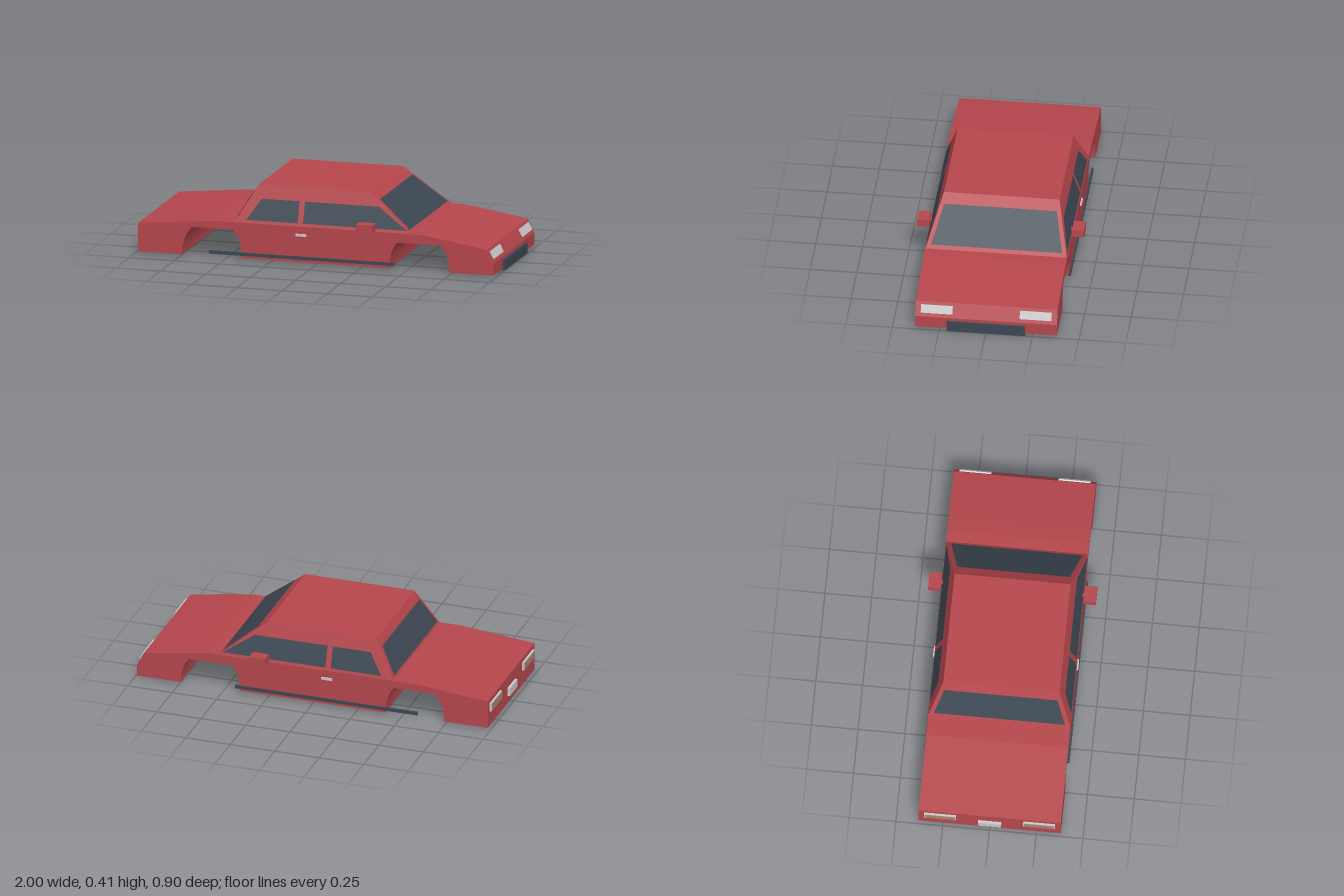
import * as THREE from 'three';

export function createModel() {
  const car = new THREE.Group();
  car.name = 'sedanBody';
  const mat = (name, color, extra = {}) => {
    const m = new THREE.MeshStandardMaterial({ color, flatShading: true, ...extra });
    m.name = name;
    return m;
  };
  const red = mat('redPaint', 0xb5464c);
  const dark = mat('darkGlass', 0x3c4753, { side: THREE.DoubleSide });
  const silver = mat('lightGrey', 0xc8c8c8);
  const amber = mat('tailLens', 0xa88270);

  const add = (name, geo, material) => {
    const m = new THREE.Mesh(geo, material);
    m.name = name;
    car.add(m);
    return m;
  };
  // Box given by its extents on each axis
  const box = (name, material, x0, x1, y0, y1, z0, z1) =>
    add(name, new THREE.BoxGeometry(x1 - x0, y1 - y0, z1 - z0), material)
      .position.set((x0 + x1) / 2, (y0 + y1) / 2, (z0 + z1) / 2);
  // Flat four-cornered pane
  const pane = (name, material, pts) => {
    const g = new THREE.BufferGeometry();
    g.setAttribute('position', new THREE.Float32BufferAttribute(pts.flat(), 3));
    g.setIndex([0, 1, 2, 0, 2, 3]);
    g.computeVertexNormals();
    return add(name, g, material);
  };

  // Lower body: side profile with two wheel arches, extruded across the width
  const W = 0.38;
  const s = new THREE.Shape();
  s.moveTo(-0.985, 0.01);
  s.lineTo(-0.74, 0.01);
  s.bezierCurveTo(-0.74, 0.08, -0.72, 0.13, -0.685, 0.163);
  s.lineTo(-0.46, 0.163);
  s.bezierCurveTo(-0.425, 0.13, -0.41, 0.08, -0.41, 0.01);
  s.lineTo(0.41, 0.01);
  s.bezierCurveTo(0.41, 0.08, 0.425, 0.12, 0.455, 0.153);
  s.lineTo(0.695, 0.153);
  s.bezierCurveTo(0.725, 0.12, 0.742, 0.08, 0.742, 0.01);
  s.lineTo(0.988, 0.01);
  s.lineTo(0.988, 0.075);
  s.lineTo(0.95, 0.148);
  s.lineTo(0.69, 0.19);
  s.lineTo(0.59, 0.204);
  s.lineTo(-0.57, 0.204);
  s.lineTo(-0.985, 0.165);
  s.closePath();
  const bodyGeo = new THREE.ExtrudeGeometry(s, { depth: 2 * W, bevelEnabled: false, curveSegments: 8 });
  bodyGeo.translate(0, 0, -W);
  add('lowerBody', bodyGeo, red);

  // Cabin: a box whose faces lean in towards the roof
  const Y0 = 0.2, Y1 = 0.405;
  const up = (y) => (y - Y0) / (Y1 - Y0);
  const rearX = (y) => THREE.MathUtils.lerp(-0.455, -0.334, up(y));
  const frontX = (y) => THREE.MathUtils.lerp(0.535, 0.28, up(y));
  const sideZ = (y) => THREE.MathUtils.lerp(W, 0.31, up(y));
  const cabin = new THREE.BoxGeometry(1, 1, 1);
  const p = cabin.attributes.position;
  for (let i = 0; i < p.count; i++) {
    const y = p.getY(i) > 0 ? Y1 : Y0;
    p.setXYZ(i, p.getX(i) > 0 ? frontX(y) : rearX(y), y, Math.sign(p.getZ(i)) * sideZ(y));
  }
  cabin.computeVertexNormals();
  add('cabin', cabin, red);

  // Windscreen and rear window
  const endWindow = (name, xAt, off, lo, hi) => {
    const w = (y) => sideZ(y) - 0.022;
    pane(name, dark, [
      [xAt(lo) + off, lo, w(lo)], [xAt(lo) + off, lo, -w(lo)],
      [xAt(hi) + off, hi, -w(hi)], [xAt(hi) + off, hi, w(hi)],
    ]);
  };
  endWindow('windscreen', frontX, 0.006, 0.221, 0.366);
  endWindow('rearWindow', rearX, -0.006, 0.221, 0.362);

  for (const k of [1, -1]) {
    const side = k > 0 ? 'Left' : 'Right';
    // Side windows
    const lo = 0.221, hi = 0.333;
    const sideWindow = (name, a, b, c, d) => pane(name + side, dark, [
      [a, lo, k * (sideZ(lo) + 0.005)], [b, lo, k * (sideZ(lo) + 0.005)],
      [c, hi, k * (sideZ(hi) + 0.005)], [d, hi, k * (sideZ(hi) + 0.005)],
    ]);
    sideWindow('rearDoorWindow', -0.385, -0.1, -0.1, -0.31);
    sideWindow('frontDoorWindow', -0.07, 0.508, 0.34, -0.07);

    // Trim, handle and mirror; box spans mirrored across the middle
    const sideBox = (name, m, x0, x1, y0, y1, z0, z1) =>
      box(name + side, m, x0, x1, y0, y1, Math.min(k * z0, k * z1), Math.max(k * z0, k * z1));
    sideBox('sillStrip', dark, -0.59, 0.435, 0.025, 0.042, 0.375, 0.388);
    sideBox('doorHandle', silver, -0.11, -0.05, 0.152, 0.165, 0.375, 0.388);
    sideBox('mirror', red, 0.245, 0.335, 0.21, 0.253, 0.383, 0.448);
    sideBox('mirrorArm', red, 0.28, 0.3, 0.215, 0.235, 0.36, 0.39);

    // Tail lamps: pale housing with a lens on its back
    sideBox('tailLamp', silver, -0.996, -0.98, 0.095, 0.142, 0.18, 0.35);
    sideBox('tailLens', amber, -0.999, -0.995, 0.099, 0.138, 0.185, 0.345);

    // Headlamps lean with the nose
    const lamp = add('headlamp' + side, new THREE.BoxGeometry(0.012, 0.045, 0.17), silver);
    lamp.position.set(0.97, 0.114, k * 0.265);
    lamp.rotation.z = Math.atan2(0.038, 0.073);
  }

  // Front bumper panel and rear number plate
  box('frontBumper', dark, 0.98, 1.0, 0, 0.058, -0.21, 0.21);
  box('rearPlate', silver, -1.0, -0.98, 0.055, 0.1, -0.062, 0.062);

  return car;
}
